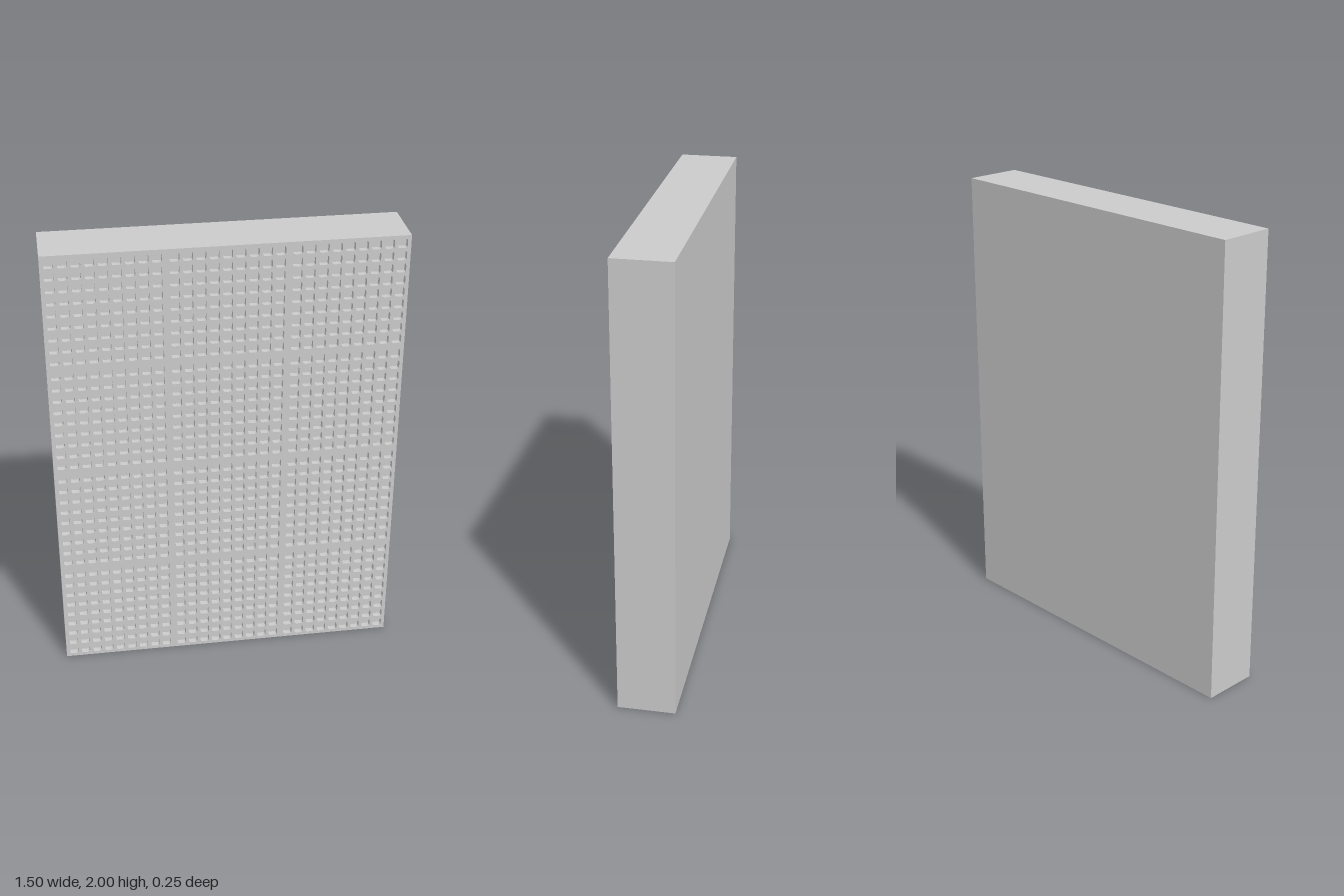
import * as THREE from 'three';

const WIDTH = 1.5, HEIGHT = 2, DEPTH = 0.25;
const MODULE = 0.5;      // square modules, 3 across and 4 up
const CELLS = 9;         // pockets per module side
const PITCH = 0.0538;    // pocket spacing
const CELL = 0.04;       // pocket size
const RADIUS = 0.01;     // pocket corner radius
const RECESS = 0.025;    // pocket depth

// Rounded square outline of one pocket
function pocket(cx, cy) {
  const h = CELL / 2, r = RADIUS;
  const x0 = cx - h, x1 = cx + h, y0 = cy - h, y1 = cy + h;
  const p = new THREE.Path();
  p.moveTo(x0 + r, y0);
  p.lineTo(x1 - r, y0);
  p.quadraticCurveTo(x1, y0, x1, y0 + r);
  p.lineTo(x1, y1 - r);
  p.quadraticCurveTo(x1, y1, x1 - r, y1);
  p.lineTo(x0 + r, y1);
  p.quadraticCurveTo(x0, y1, x0, y1 - r);
  p.lineTo(x0, y0 + r);
  p.quadraticCurveTo(x0, y0, x0 + r, y0);
  return p;
}

export function createModel() {
  const group = new THREE.Group();
  group.name = 'pocketedPanel';
  const material = new THREE.MeshStandardMaterial({ color: 0xcccccc });

  // Solid slab, whose front forms the pocket floors
  const slab = new THREE.Mesh(new THREE.BoxGeometry(WIDTH, HEIGHT, DEPTH - RECESS), material);
  slab.name = 'slab';
  slab.position.set(0, HEIGHT / 2, -RECESS / 2);
  group.add(slab);

  // Perforated front plate
  const shape = new THREE.Shape();
  shape.moveTo(-WIDTH / 2, 0);
  shape.lineTo(WIDTH / 2, 0);
  shape.lineTo(WIDTH / 2, HEIGHT);
  shape.lineTo(-WIDTH / 2, HEIGHT);
  shape.closePath();

  const mid = (CELLS - 1) / 2;
  for (let mx = 0; mx < WIDTH / MODULE; mx++) {
    for (let my = 0; my < HEIGHT / MODULE; my++) {
      const cx = -WIDTH / 2 + (mx + 0.5) * MODULE;
      const cy = (my + 0.5) * MODULE;
      for (let i = 0; i < CELLS; i++) {
        for (let j = 0; j < CELLS; j++) {
          shape.holes.push(pocket(cx + (i - mid) * PITCH, cy + (j - mid) * PITCH));
        }
      }
    }
  }
  const plate = new THREE.Mesh(
    new THREE.ExtrudeGeometry(shape, { depth: RECESS, bevelEnabled: false, curveSegments: 2 }),
    material
  );
  plate.name = 'perforatedFrontPlate';
  plate.position.z = DEPTH / 2 - RECESS;
  group.add(plate);

  return group;
}
